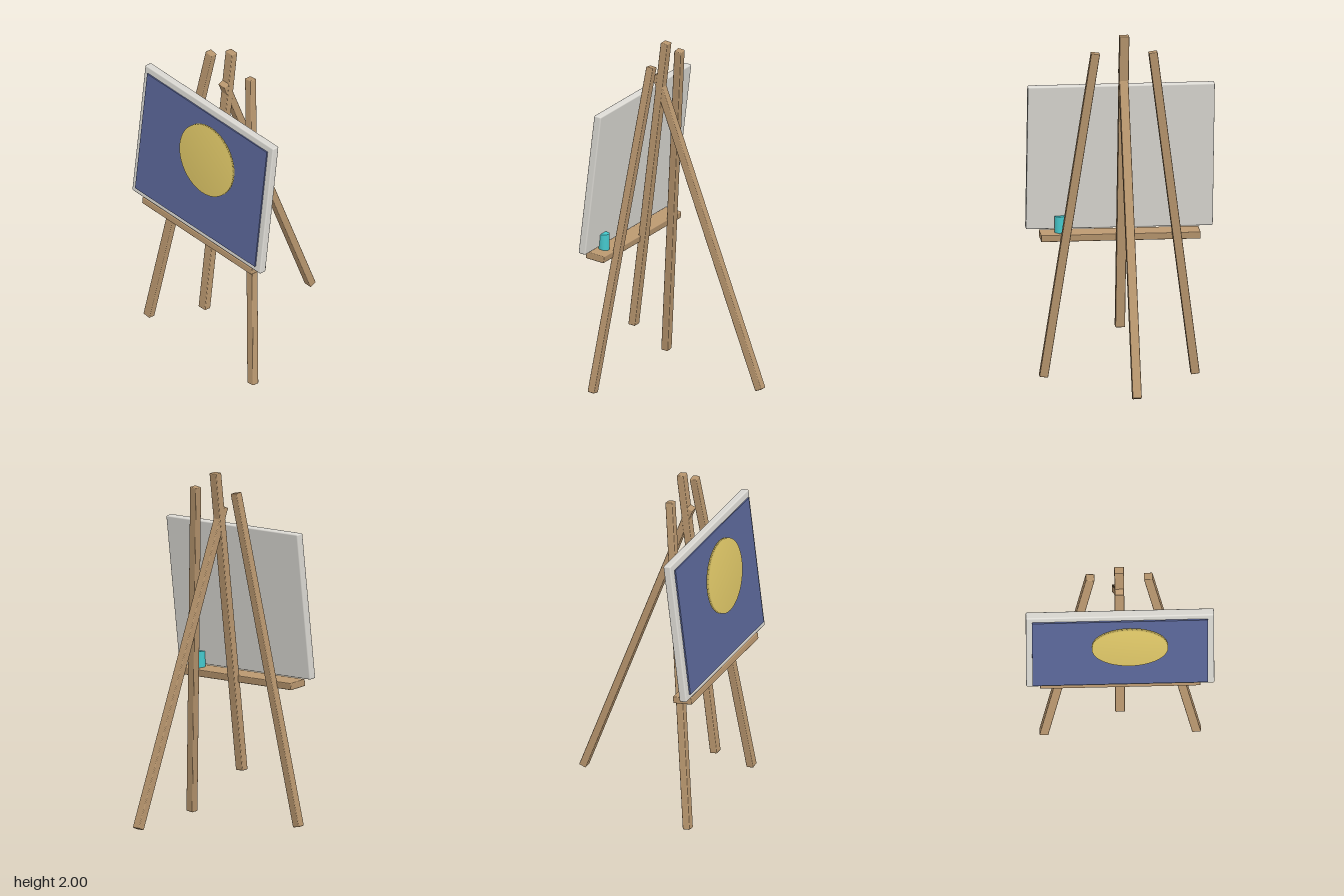
import * as THREE from 'three';
import { RoundedBoxGeometry } from 'three/addons/geometries/RoundedBoxGeometry.js';

const LEAN = -0.121; // backward tilt of the front frame

export function createModel() {
  const model = new THREE.Group();
  model.name = 'easel';

  const material = (name, color) => {
    const m = new THREE.MeshStandardMaterial({ color });
    m.name = name;
    return m;
  };
  const wood = material('wood', 0xb9976f);
  const canvasWhite = material('canvas white', 0xdcdad4);
  const blue = material('blue paint', 0x5a6698);
  const yellow = material('yellow paint', 0xe0c868);
  const cyan = material('cyan cup', 0x45c8cc);

  const add = (parent, name, geometry, mat, x = 0, y = 0, z = 0) => {
    const mesh = new THREE.Mesh(geometry, mat);
    mesh.name = name;
    mesh.position.set(x, y, z);
    parent.add(mesh);
    return mesh;
  };

  // Wooden bar running between two points
  const beam = (name, from, to, width, depth) => {
    const a = new THREE.Vector3(...from);
    const b = new THREE.Vector3(...to);
    const up = b.clone().sub(a);
    const length = up.length();
    up.normalize();
    const side = up.clone().cross(new THREE.Vector3(0, 0, 1)).normalize();
    const front = side.clone().cross(up);
    const mid = a.add(b).multiplyScalar(0.5);
    const mesh = add(model, name, new RoundedBoxGeometry(width, length, depth, 2, 0.005), wood, mid.x, mid.y, mid.z);
    mesh.quaternion.setFromRotationMatrix(new THREE.Matrix4().makeBasis(side, up, front));
  };

  // Legs and mast
  for (const [name, s] of [['leftLeg', 1], ['rightLeg', -1]]) {
    beam(name, [s * 0.43, 0.006, 0.409], [s * 0.163, 1.9, 0.178], 0.05, 0.043);
  }
  beam('mast', [0, 0.288, 0.382], [0, 1.997, 0.174], 0.055, 0.043);
  beam('backLeg', [0, 0.033, -0.432], [0, 1.8, 0.232], 0.052, 0.043);

  // Tray
  const tray = add(model, 'tray', new RoundedBoxGeometry(0.905, 0.04, 0.115, 2, 0.005), wood, 0, 0.818, 0.383);
  tray.rotation.x = LEAN;

  // Cup standing on the tray behind the canvas
  add(model, 'cup', new THREE.CylinderGeometry(0.031, 0.031, 0.095, 24), cyan, 0.34, 0.881, 0.386);

  // Canvas with its painted field and disc
  const painting = new THREE.Group();
  painting.name = 'painting';
  painting.position.set(0, 1.272, 0.374);
  painting.rotation.x = LEAN;
  model.add(painting);
  add(painting, 'canvas', new RoundedBoxGeometry(1.06, 0.842, 0.045, 2, 0.008), canvasWhite);
  add(painting, 'paintedField', new THREE.BoxGeometry(0.99, 0.77, 0.008), blue, 0, 0, 0.031);

  // Disc with softly shaded rim
  const profile = [[0, -0.01], [0.215, -0.01], [0.215, 0.01], [0, 0.01]].map(p => new THREE.Vector2(...p));
  const disc = add(painting, 'paintedDisc', new THREE.LatheGeometry(profile, 48), yellow, 0.055, 0.104, 0.052);
  disc.rotation.x = Math.PI / 2;

  return model;
}
